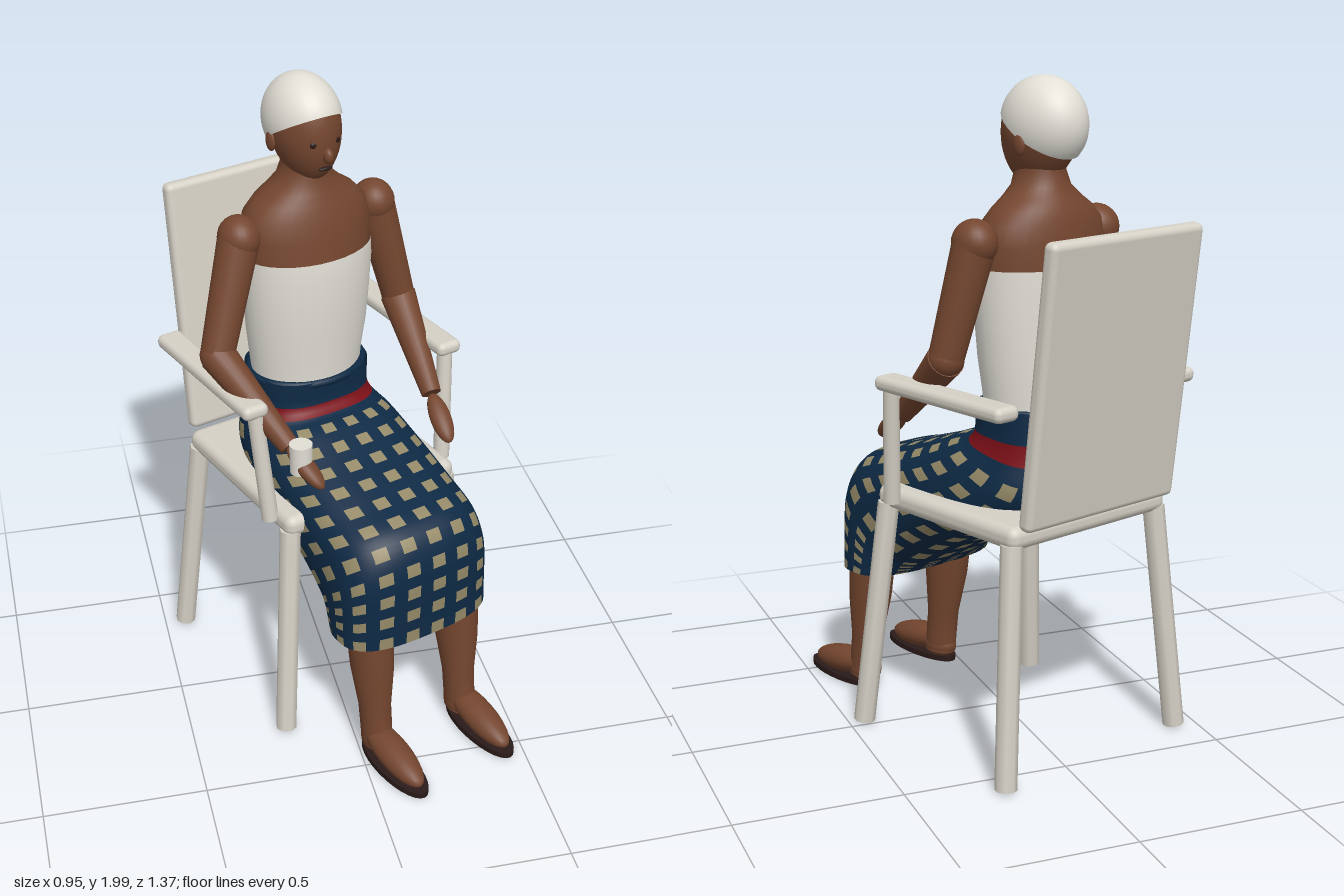
import * as THREE from 'three';
import { RoundedBoxGeometry } from 'three/addons/geometries/RoundedBoxGeometry.js';

const mat = (name, color, side = THREE.FrontSide) => {
  const m = new THREE.MeshStandardMaterial({ color, side });
  m.name = name;
  return m;
};
const V = (x, y, z) => new THREE.Vector3(x, y, z);
const CX = 0.063; // middle of chair and sitter

// Closed rings of points, listed top to bottom, joined into a skin.
// pick(row, column) chooses the material index of each cell.
function loft(rings, pick = () => 0, count = 1) {
  const n = rings[0].length, lists = Array.from({ length: count }, () => []);
  for (let j = 0; j < rings.length - 1; j++) for (let i = 0; i < n; i++) {
    const a = j * n + i, b = j * n + (i + 1) % n;
    lists[pick(j, i)].push(a, a + n, b, b, a + n, b + n);
  }
  const g = new THREE.BufferGeometry().setFromPoints(rings.flat());
  g.setIndex(lists.flat());
  let start = 0;
  if (count > 1) lists.forEach((l, k) => { g.addGroup(start, l.length, k); start += l.length; });
  g.computeVertexNormals();
  return g;
}

// Rows of [y, centre z, half width, half depth] made into oval rings
function ovalLoft(rows, cx, n = 32) {
  return loft(rows.map(([y, z, a, b]) => Array.from({ length: n }, (_, i) => {
    const t = i / n * Math.PI * 2;
    return V(cx + a * Math.sin(t), y, z + b * Math.cos(t));
  })));
}

export function createModel() {
  const skin = mat('skin', 0x74462f), white = mat('whiteCloth', 0xe2dfd6);
  const chairPaint = mat('chairPaint', 0xd6d1c6), dark = mat('darkBrown', 0x2a1b19);
  const navy = mat('navyCloth', 0x0e2a45, THREE.DoubleSide);
  const tan = mat('tanCheck', 0x958a68, THREE.DoubleSide);
  const red = mat('redBand', 0x7d1018, THREE.DoubleSide);

  const model = new THREE.Group();
  model.name = 'seatedWoman';
  const body = new THREE.Group();
  body.name = 'womanAndChair';
  body.rotation.y = 0.349;
  model.add(body);

  const add = (name, geo, material, pos, scale) => {
    const m = new THREE.Mesh(geo, material);
    m.name = name;
    if (pos) m.position.copy(pos);
    if (scale) m.scale.copy(scale);
    body.add(m);
    return m;
  };
  const rod = (name, a, b, ra, rb, material, sides = 20) => {
    const m = add(name, new THREE.CylinderGeometry(rb, ra, a.distanceTo(b), sides), material,
      a.clone().add(b).multiplyScalar(0.5));
    m.quaternion.setFromUnitVectors(V(0, 1, 0), b.clone().sub(a).normalize());
    return m;
  };
  const ball = (name, material, pos, scale) =>
    add(name, new THREE.SphereGeometry(1, 24, 16), material, pos, scale);

  // Chair
  add('seat', new RoundedBoxGeometry(0.62, 0.07, 0.62, 3, 0.03), chairPaint, V(CX, 0.74, -0.152));
  add('chairBack', new RoundedBoxGeometry(0.585, 0.83, 0.05, 3, 0.02), chairPaint,
    V(CX, 1.18, -0.53)).rotation.x = -0.123;
  for (const s of [-1, 1]) {
    add('armrest', new RoundedBoxGeometry(0.085, 0.045, 0.55, 3, 0.02), chairPaint,
      V(CX + s * 0.35, 1.117, -0.217));
    rod('armrestPost', V(CX + s * 0.32, 0.74, 0.065), V(CX + s * 0.345, 1.11, 0.03), 0.026, 0.024, chairPaint, 12);
    for (const [top, foot] of [[0.125, 0.185], [-0.43, -0.475]])
      rod('chairLeg', V(CX + s * 0.348, 0.01, foot), V(CX + s * 0.286, 0.72, top), 0.033, 0.033, chairPaint, 8);
  }

  // Torso, with a white wrap below bare shoulders
  add('chestWrap', ovalLoft([
    [1.465, -0.228, 0.214, 0.152], [1.4, -0.226, 0.214, 0.155], [1.3, -0.228, 0.208, 0.153],
    [1.2, -0.23, 0.2, 0.149], [1.1, -0.235, 0.187, 0.143], [1.0, -0.235, 0.176, 0.138]], CX), white);
  add('shouldersAndNeck', ovalLoft([
    [1.8, -0.23, 0.068, 0.075], [1.73, -0.232, 0.072, 0.078], [1.69, -0.235, 0.088, 0.085],
    [1.66, -0.238, 0.122, 0.1], [1.63, -0.24, 0.165, 0.115], [1.59, -0.238, 0.203, 0.13],
    [1.53, -0.234, 0.214, 0.142], [1.45, -0.23, 0.211, 0.149]], CX), skin);

  // Head, narrowing to the chin
  const headGeo = new THREE.SphereGeometry(1, 32, 24), p = headGeo.attributes.position;
  for (let i = 0; i < p.count; i++) {
    const y = p.getY(i), d = Math.max(0, -y);
    p.setXYZ(i, p.getX(i) * (1 - 0.15 * d) * 0.104, y * 0.157, p.getZ(i) * (1 - 0.1 * d) * 0.128 + 0.025 * d);
  }
  headGeo.computeVertexNormals();
  add('head', headGeo, skin, V(CX, 1.838, -0.235));
  const cap = new THREE.SphereGeometry(1, 32, 16, 0, Math.PI * 2, 0, Math.PI * 0.56);
  cap.rotateX(-0.55).scale(0.111, 0.138, 0.143);
  add('cap', cap, white, V(CX, 1.862, -0.247)).material = white;
  ball('nose', skin, V(CX, 1.792, -0.105), V(0.015, 0.024, 0.02));
  ball('mouth', dark, V(CX, 1.748, -0.118), V(0.024, 0.006, 0.008));
  for (const s of [-1, 1]) {
    ball('eye', dark, V(CX + s * 0.037, 1.828, -0.121), V(0.014, 0.011, 0.007));
    ball('ear', skin, V(CX + s * 0.102, 1.81, -0.255), V(0.012, 0.032, 0.022));
  }

  // Arms: shoulder, elbow, wrist, fingertip side by side
  const arms = [
    ['right', V(-0.172, 1.545, -0.225), V(-0.295, 1.215, -0.16), V(-0.215, 1.01, 0.115), V(-0.2, 0.97, 0.18)],
    ['left', V(0.305, 1.545, -0.225), V(0.375, 1.215, -0.18), V(0.325, 1.0, 0.08), V(0.312, 0.95, 0.15)]];
  for (const [side, shoulder, elbow, wrist, hand] of arms) {
    ball(side + 'Shoulder', skin, shoulder, V(0.064, 0.068, 0.07));
    rod(side + 'UpperArm', elbow, shoulder, 0.052, 0.064, skin);
    ball(side + 'Elbow', skin, elbow, V(0.053, 0.053, 0.053));
    rod(side + 'Forearm', elbow, wrist, 0.056, 0.031, skin);
    const h = ball(side + 'Hand', skin, hand, V(0.033, 0.085, 0.026));
    h.quaternion.setFromUnitVectors(V(0, 1, 0), hand.clone().sub(wrist).normalize());
  }
  add('cup', new THREE.CylinderGeometry(0.035, 0.033, 0.095, 20), white, V(-0.207, 0.997, 0.165));

  // Wrapped skirt: front/top line and back/underside line as (half width, y, z)
  const front = new THREE.CatmullRomCurve3([
    V(0.188, 1.06, -0.082), V(0.192, 0.96, -0.075), V(0.23, 0.935, 0.0), V(0.252, 0.89, 0.12),
    V(0.258, 0.835, 0.29), V(0.26, 0.79, 0.42), V(0.26, 0.71, 0.467), V(0.26, 0.43, 0.475)]);
  const back = new THREE.CatmullRomCurve3([
    V(0, 1.06, -0.388), V(0, 0.93, -0.39), V(0, 0.79, -0.385), V(0, 0.69, -0.27),
    V(0, 0.6, -0.06), V(0, 0.52, 0.08), V(0, 0.465, 0.17), V(0, 0.43, 0.22)]);
  const soft = v => Math.sign(v) * Math.abs(v) ** 0.72;
  const section = new THREE.CatmullRomCurve3(Array.from({ length: 40 }, (_, i) => {
    const t = i / 40 * Math.PI * 2;
    return V(1.5 * soft(Math.sin(t)), 0, soft(Math.cos(t)));
  }), true).getSpacedPoints(64).slice(0, 64);
  const ROWS = 50, heights = [];
  const rings = Array.from({ length: ROWS + 1 }, (_, j) => {
    const t = front.getUtoTmapping(j / ROWS), a = front.getPoint(t), b = back.getPoint(t);
    heights.push(a.y);
    return section.map(s => {
      const k = (1 + s.z) / 2;
      return V(CX + a.x * s.x / 1.5, b.y + (a.y - b.y) * k, b.z + (a.z - b.z) * k);
    });
  });
  const check = (j, i) => {
    if (heights[j] > 0.953 && heights[j] < 0.985) return 2;
    return j > 1 && j % 4 < 2 && i % 4 < 2 ? 1 : 0;
  };
  add('skirt', loft(rings, check, 3), [navy, tan, red]);
  const rim = new THREE.TorusGeometry(1, 0.07, 8, 40).rotateX(Math.PI / 2);
  add('skirtRim', rim, navy, V(CX, 1.05, -0.235), V(0.186, 0.18, 0.152));

  // Lower legs, feet and sandals
  for (const s of [-1, 1]) {
    const x = CX + s * 0.16;
    add('lowerLeg', ovalLoft([
      [0.7, 0.36, 0.078, 0.08], [0.45, 0.375, 0.071, 0.078], [0.32, 0.39, 0.066, 0.072],
      [0.18, 0.408, 0.05, 0.053], [0.1, 0.418, 0.048, 0.054], [0.04, 0.425, 0.045, 0.058]], x, 24), skin);
    ball('heel', skin, V(x, 0.06, 0.425), V(0.047, 0.045, 0.062));
    const foot = ball('foot', skin, V(x + s * 0.004, 0.063, 0.52), V(0.052, 0.043, 0.15));
    foot.rotation.x = 0.16;
    add('sandalSole', new THREE.CylinderGeometry(1, 1, 0.018, 28), dark,
      V(x + s * 0.004, 0.018, 0.528), V(0.058, 1, 0.162));
  }
  return model;
}
